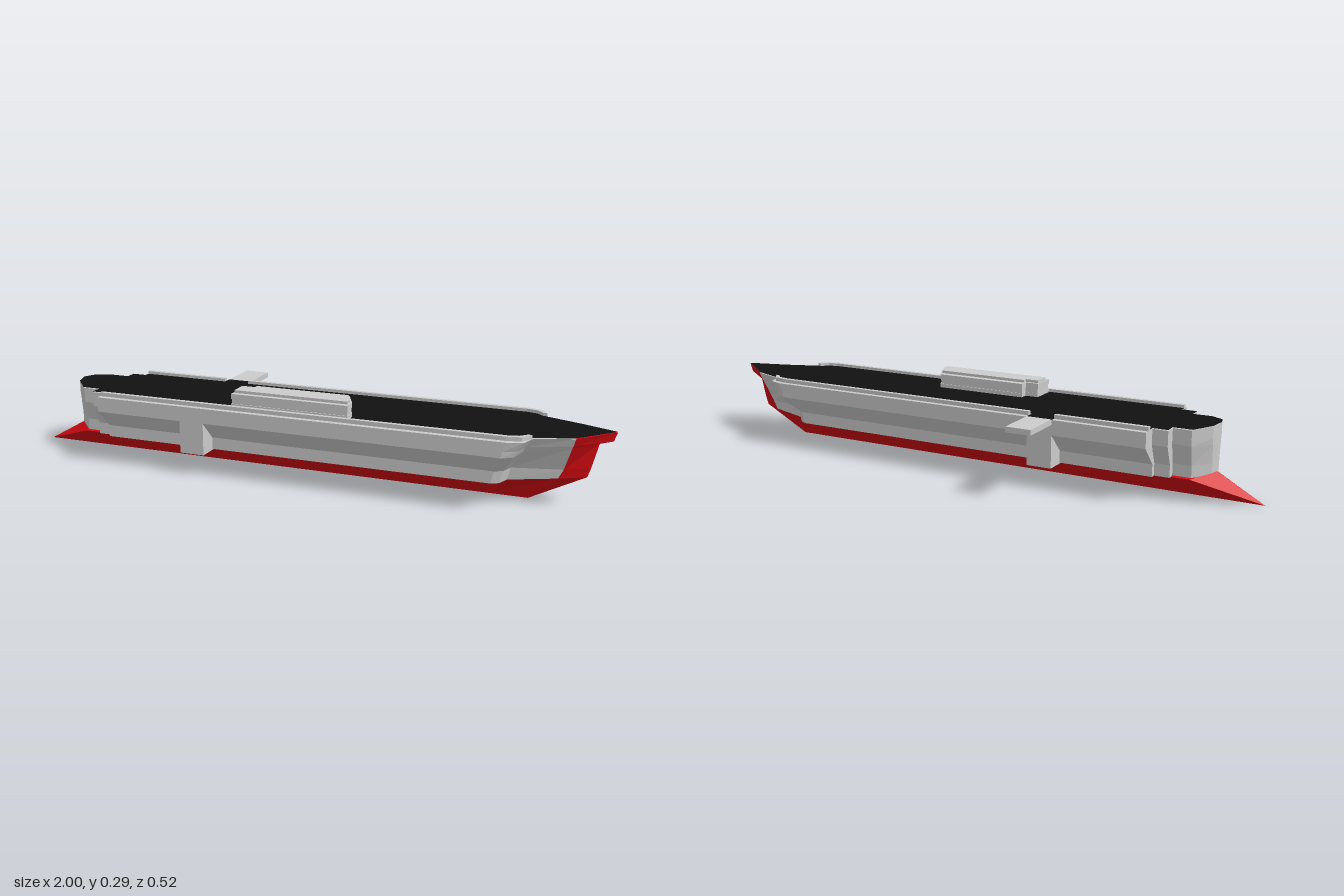
import * as THREE from 'three';

const CZ = 0.074; // centreline of the hull
const material = (color) => new THREE.MeshStandardMaterial({ color, flatShading: true, side: THREE.DoubleSide });
const grey = material(0xcccccc), red = material(0xd50a12), black = material(0x111111);

export function createModel() {
  const ship = new THREE.Group();
  ship.name = 'ship';

  const add = (name, geometry, mat, x = 0, y = 0, z = 0) => {
    const mesh = new THREE.Mesh(geometry, mat);
    mesh.name = name;
    mesh.position.set(x, y, z);
    ship.add(mesh);
    return mesh;
  };
  const box = (name, mat, x0, x1, y0, y1, z0, z1) =>
    add(name, new THREE.BoxGeometry(x1 - x0, y1 - y0, z1 - z0), mat, (x0 + x1) / 2, (y0 + y1) / 2, (z0 + z1) / 2);

  // Skin over cross-sections of [x, y, z] points, ordered towards +x
  function loft(sections, closed) {
    const pos = [];
    const n = sections[0].length;
    for (let i = 0; i + 1 < sections.length; i++) {
      for (let j = 0; j < (closed ? n : n - 1); j++) {
        const k = (j + 1) % n;
        const a = sections[i][j], b = sections[i + 1][j], c = sections[i + 1][k], d = sections[i][k];
        pos.push(...a, ...b, ...c, ...a, ...c, ...d);
      }
    }
    const g = new THREE.BufferGeometry();
    g.setAttribute('position', new THREE.Float32BufferAttribute(pos, 3));
    g.computeVertexNormals();
    return g;
  }

  // Symmetric ring: half-profile bottom to top, mirrored about the centreline
  function ring(xs, ws, ys) {
    const side = (s) => xs.map((x, i) => [x, ys[i], s * ws[i]]);
    const last = xs.length - 1;
    return [[xs[0], ys[0], 0], ...side(1), [xs[last], ys[last], 0], ...side(-1).reverse()];
  }

  // Flat slab from an outline of [x, z] points
  function slab(points, y0, y1) {
    const shape = new THREE.Shape(points.map(([x, z]) => new THREE.Vector2(x, z)));
    return new THREE.ExtrudeGeometry(shape, { depth: y1 - y0, bevelEnabled: false })
      .rotateX(Math.PI / 2).translate(0, y1, 0);
  }

  // Hull: vertical lower band, flare, vertical upper band; stepped at the stern
  const Y = [0.075, 0.115, 0.18, 0.2, 0.23];
  const at = (x, ws) => ring([x, x, x, x, x], ws, Y);
  const full = [0.122, 0.122, 0.188, 0.188, 0.188];
  const mid = [0.105, 0.105, 0.135, 0.135, 0.135];
  const small = [0.08, 0.08, 0.095, 0.095, 0.095];
  const border = ring([0.84, 0.855, 0.88, 0.883, 0.89], [0.044, 0.044, 0.068, 0.071, 0.078], [0.09, 0.12, 0.198, 0.205, 0.23]);
  add('hull', loft([
    ring([-0.85, -0.85, -0.85, -0.85, -0.85], [0, 0, 0, 0, 0], [0.09, 0.12, 0.18, 0.2, 0.24]),
    ring([-0.84, -0.84, -0.84, -0.84, -0.84], [0.035, 0.035, 0.042, 0.045, 0.045], [0.088, 0.12, 0.18, 0.2, 0.238]),
    at(-0.79, small), at(-0.73, small),
    at(-0.73, mid), at(-0.68, mid),
    at(-0.68, full),
    ring([0.65, 0.66, 0.69, 0.695, 0.71], full, Y),
    ring([0.675, 0.685, 0.725, 0.735, 0.755], [0.108, 0.108, 0.168, 0.168, 0.17], Y),
    ring([0.69, 0.7, 0.74, 0.75, 0.77], [0.067, 0.067, 0.105, 0.115, 0.122], Y),
    border,
  ], true), grey, 0, 0, CZ);

  // Painted bow
  add('bow', loft([
    border,
    ring([0.92, 0.93, 0.95, 0.99, 1], [0, 0, 0, 0, 0], [0.09, 0.12, 0.2, 0.212, 0.241]),
  ], true), red, 0, 0, CZ);

  // V-shaped keel with a pointed stern: [bottom x, bottom y, edge x, edge half width, edge y, crown x, crown y]
  add('keel', loft([
    [-1, 0, -1, 0, 0, -1, 0],
    [-0.79, 0, -0.79, 0.093, 0.075, -0.84, 0.09],
    [0.55, 0, 0.6, 0.093, 0.075, 0.6, 0.08],
    [0.62, 0, 0.69, 0.067, 0.075, 0.69, 0.08],
    [0.745, 0, 0.84, 0.044, 0.09, 0.84, 0.092],
    [0.92, 0.09, 0.92, 0, 0.09, 0.92, 0.09],
  ].map(([bx, by, ex, w, ey, cx, cy]) => [[bx, by, 0], [ex, ey, w], [cx, cy, 0], [ex, ey, -w]]), true), red, 0, 0, CZ);

  // Flight deck, slightly raised at both tips
  add('flightDeck', loft([
    [-0.851, 0, 0.243], [-0.84, 0.046, 0.24], [-0.793, 0.096, 0.233], [-0.73, 0.096, 0.233],
    [-0.73, 0.136, 0.233], [-0.68, 0.136, 0.233], [-0.68, 0.156, 0.233], [0.7, 0.156, 0.233],
    [0.735, 0.15, 0.233], [0.772, 0.122, 0.233], [0.89, 0.079, 0.233], [1, 0, 0.243],
  ].map(([x, w, y]) => [[x, y, w], [x, y, 0], [x, y, -w]]), false), black, 0, 0, CZ);

  // Deck-edge rails, broken on one side by the lift
  const railFront = [[0.7, 0.17], [0.745, 0.16], [0.77, 0.125], [0.757, 0.125], [0.735, 0.147], [0.7, 0.155]];
  const rail = (s, x0) => add('deckRail',
    slab([[x0, 0.155], [x0, 0.17], ...railFront].map(([x, w]) => [x, s * w]), 0.228, 0.243), grey, 0, 0, CZ);
  rail(1, -0.68);
  rail(-1, -0.28);
  box('deckRailAft', grey, -0.68, -0.37, 0.228, 0.243, CZ - 0.17, CZ - 0.155);

  // Deck-edge lift and its threshold
  box('lift', grey, -0.37, -0.285, 0.214, 0.232, -0.262, -0.113);
  box('liftThreshold', black, -0.37, -0.285, 0.225, 0.233, -0.114, -0.08);

  // Sponsons under the flare
  for (const s of [1, -1]) {
    const z0 = CZ + s * 0.1, z1 = CZ + s * 0.188;
    box('sponson', grey, -0.37, -0.285, 0.072, 0.182, Math.min(z0, z1), Math.max(z0, z1));
  }

  // Island superstructure in tiers
  const plan = [[-0.2, 0.135], [-0.155, 0.135], [-0.155, 0.106], [0.165, 0.106], [0.2, 0.18], [0.2, 0.222], [-0.2, 0.222]];
  const inset = plan.map(([x, z]) => [x * 0.99, 0.164 + (z - 0.164) * 0.95]);
  add('islandBase', slab(plan, 0.23, 0.246), grey);
  add('islandWindows', slab(inset, 0.246, 0.262), grey);
  add('islandUpper', slab(plan, 0.262, 0.279), grey);
  add('islandRoof', slab([[-0.195, 0.145], [-0.15, 0.145], [-0.15, 0.129], [0.17, 0.129], [0.193, 0.18], [0.193, 0.205], [-0.195, 0.205]], 0.279, 0.288), grey);

  return ship;
}
